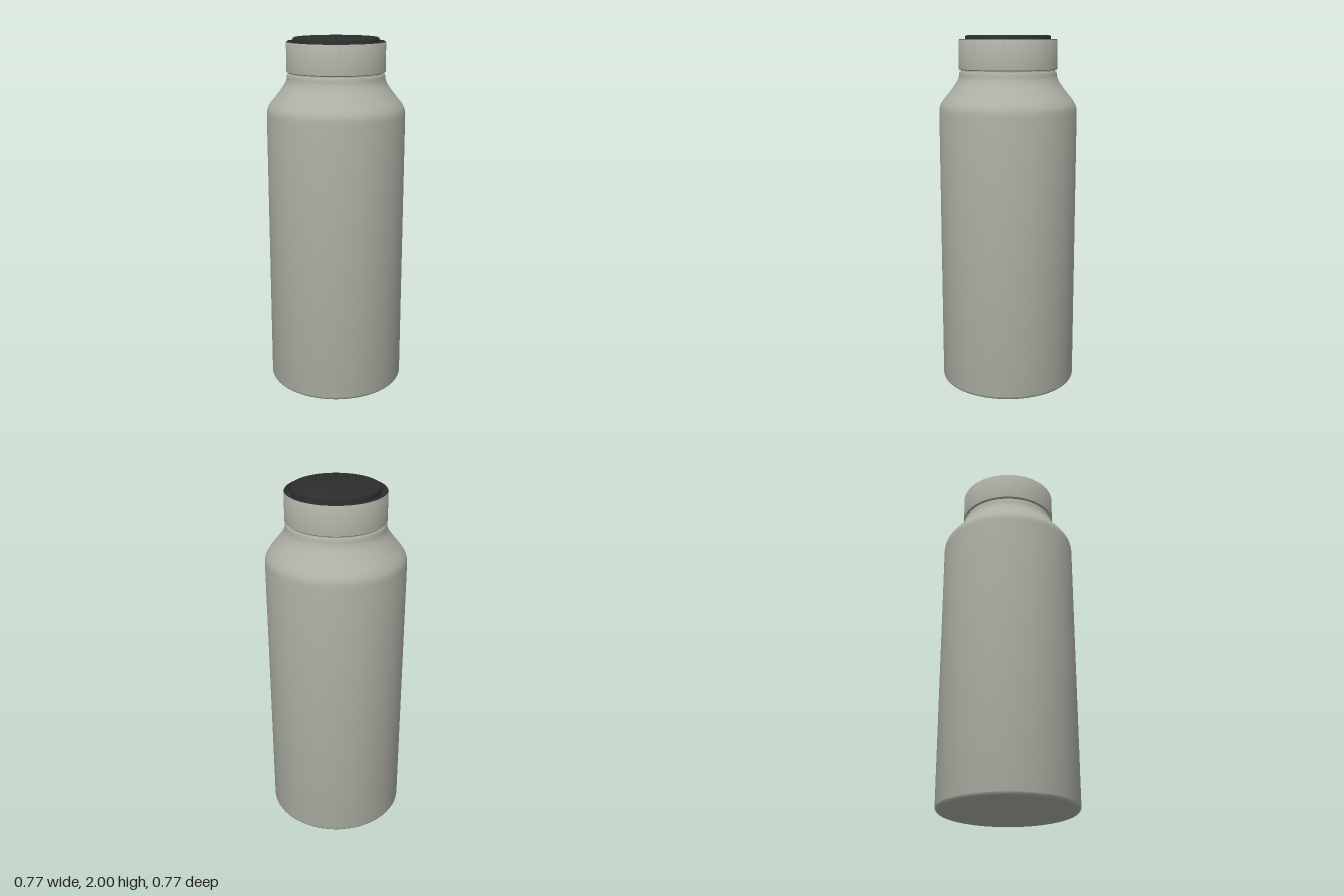
import * as THREE from 'three';
import { toCreasedNormals } from 'three/addons/utils/BufferGeometryUtils.js';

const SEGMENTS = 96;

// Revolve a list of [radius, height] points, keeping sharp edges crisp
function revolve(name, profile, material) {
  const points = profile.map(([r, y]) => new THREE.Vector2(r, y));
  const geometry = toCreasedNormals(new THREE.LatheGeometry(points, SEGMENTS), 0.6);
  const mesh = new THREE.Mesh(geometry, material);
  mesh.name = name;
  return mesh;
}

// Points of a quarter-round edge between two angles
function arc(cx, cy, radius, from, to, steps) {
  return Array.from({ length: steps + 1 }, (_, i) => {
    const a = from + ((to - from) * i) / steps;
    return [cx + radius * Math.cos(a), cy + radius * Math.sin(a)];
  });
}

export function createModel() {
  const steel = new THREE.MeshStandardMaterial({ color: 0xadb0a5 });
  steel.name = 'warm grey coating';
  const black = new THREE.MeshStandardMaterial({ color: 0x2d2d2d });
  black.name = 'black plastic';

  // Sloping shoulder that eases from the wall into the neck
  const shoulder = new THREE.SplineCurve([
    [0.387, 1.585], [0.381, 1.615], [0.362, 1.648], [0.325, 1.694],
    [0.293, 1.737], [0.277, 1.768], [0.272, 1.797],
  ].map(([r, y]) => new THREE.Vector2(r, y))).getPoints(24).map((p) => [p.x, p.y]);

  const model = new THREE.Group();
  model.name = 'bottle';
  model.add(
    // Flat base, rounded foot, straight wall, shoulder and neck
    revolve('body', [
      [0, 0],
      ...arc(0.362, 0.025, 0.025, -Math.PI / 2, 0, 8),
      ...shoulder,
      [0.268, 1.803], [0.262, 1.805], [0.262, 1.83],
    ], steel),
    // Coated band around the lid
    revolve('lidBand', [
      [0.255, 1.812], [0.27, 1.812], [0.275, 1.817], [0.275, 1.972], [0.273, 1.976],
    ], steel),
    // Stepped black rim with a groove around the centre
    revolve('lidRim', [
      [0.273, 1.976], [0.268, 1.98], [0.261, 1.98], [0.259, 1.974],
      [0.25, 1.974], [0.248, 1.968], [0.23, 1.968],
    ], black),
    // Raised centre disc
    revolve('lidDisc', [
      [0.238, 1.96], ...arc(0.231, 1.992, 0.007, 0, Math.PI / 2, 5), [0.228, 2], [0, 2],
    ], black),
  );
  return model;
}
